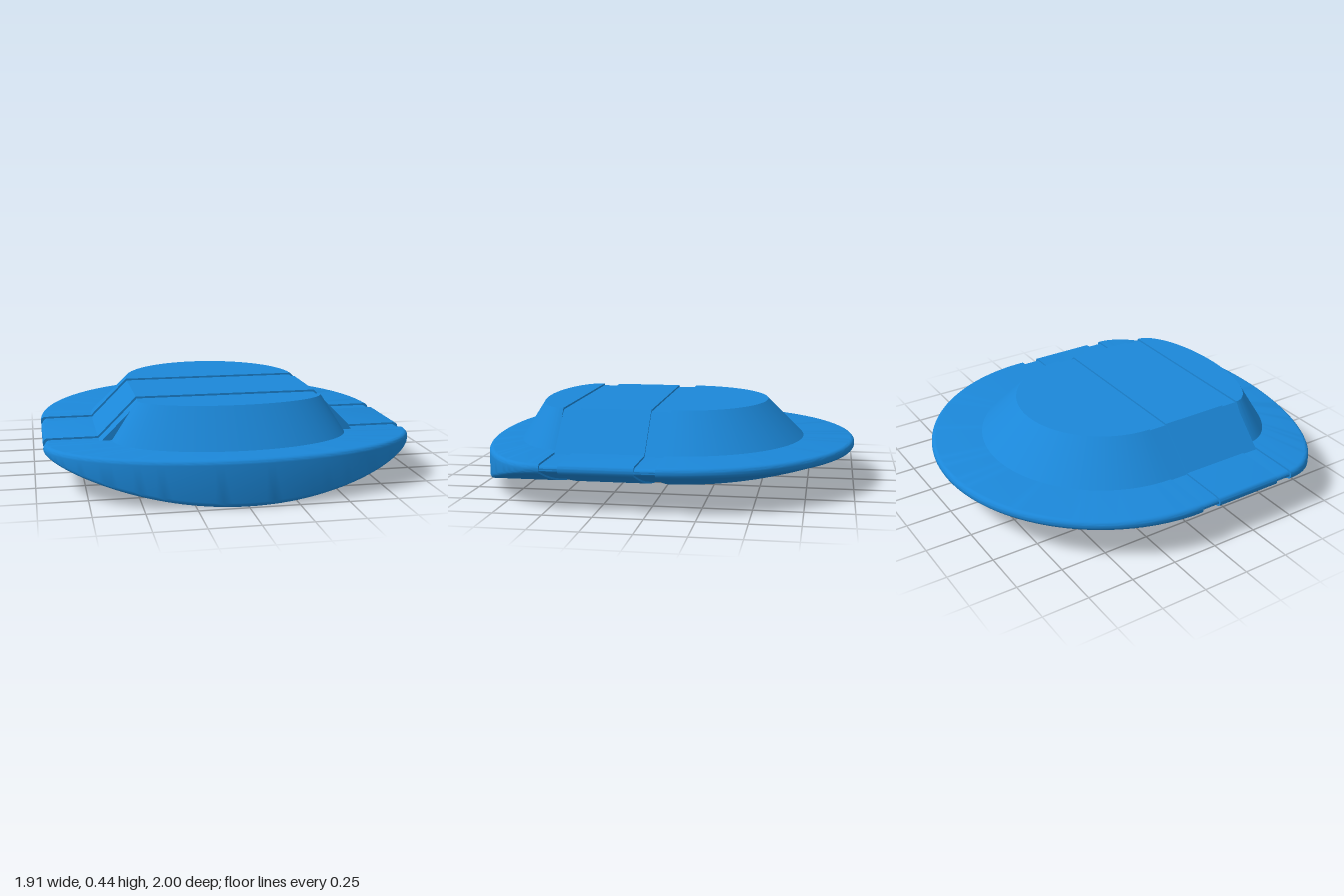
import * as THREE from 'three';
import { mergeGeometries, toCreasedNormals } from 'three/addons/utils/BufferGeometryUtils.js';

const DECK = 0.24, ROOF = 0.44, HALF_WIDTH = 0.955, EDGE = 0.025, INSET = 0.01;
const BACK_Z = -0.05, FRONT_Z = 0.525;
const belly = (d) => 0.215 * d * d;

// Hull profile from deck centre over the rounded rim to the keel: [x radius, z radius, y].
// depthAt turns the x radius into the distance that sets the belly height.
function hullColumn(a, b, inset = 0, depthAt = (r) => r) {
  const pts = [[0, 0, DECK - inset]];
  const ia = a - EDGE, ib = b - EDGE;
  const low = belly(depthAt(ia)) + inset;
  for (let i = 0; i <= 5; i++) {
    const p = (i / 5) * Math.PI / 2;
    pts.push([ia + EDGE * Math.sin(p), ib + EDGE * Math.sin(p), DECK - inset - EDGE * (1 - Math.cos(p))]);
  }
  for (let i = 0; i <= 5; i++) {
    const p = (i / 5) * Math.PI / 2;
    pts.push([ia + EDGE * Math.cos(p), ib + EDGE * Math.cos(p), low + EDGE * (1 - Math.sin(p))]);
  }
  for (let i = 15; i >= 0; i--) {
    const s = i / 16;
    pts.push([ia * s, ib * s, belly(depthAt(ia * s)) + inset]);
  }
  return pts;
}

// Mirrors a column into a closed cross-section
function sectionShape(column) {
  const right = column.map(([x, , y]) => new THREE.Vector2(x, y));
  const left = right.filter((p) => p.x > 0).map((p) => new THREE.Vector2(-p.x, p.y)).reverse();
  return new THREE.Shape([...right, ...left]);
}

// Half-round end: sweeps columns through 180 degrees and closes the flat side
function halfRound(columnAt, z, dir, steps = 72) {
  const pos = [], index = [];
  const n = columnAt(0).length;
  for (let i = 0; i <= steps; i++) {
    const t = (i / steps) * Math.PI;
    for (const [rx, rz, y] of columnAt(t)) pos.push(rx * Math.cos(t), y, z + dir * rz * Math.sin(t));
  }
  for (let i = 0; i < steps; i++) {
    for (let j = 0; j < n - 1; j++) {
      const p = i * n + j, q = p + n;
      const tris = [];
      if (j > 0) tris.push([p, q, p + 1]);
      if (j < n - 2 || n === 4) tris.push([q, q + 1, p + 1]);
      if (j === 0 && n !== 4 && !tris.length) tris.push([p, q + 1, p + 1]);
      for (const [u, v, w] of tris) index.push(...(dir > 0 ? [u, v, w] : [u, w, v]));
    }
  }
  const skin = new THREE.BufferGeometry();
  skin.setAttribute('position', new THREE.Float32BufferAttribute(pos, 3));
  skin.setIndex(index);
  const cap = new THREE.ShapeGeometry(sectionShape(columnAt(0)));
  if (dir > 0) cap.rotateY(Math.PI);
  cap.translate(0, 0, z);
  cap.deleteAttribute('uv');
  cap.deleteAttribute('normal');
  return mergeGeometries([skin.toNonIndexed(), cap.toNonIndexed()]);
}

// Straight slice between two z positions
function slice(column, z0, z1) {
  return new THREE.ExtrudeGeometry(sectionShape(column), { depth: z1 - z0, bevelEnabled: false }).translate(0, 0, z0);
}

// Sloped cabin profile
const cabinColumn = (topX, topZ, baseX, baseZ, inset = 0) => [
  [0, 0, ROOF - inset], [topX, topZ, ROOF - inset], [baseX, baseZ, DECK - inset], [0, 0, DECK - inset],
];

export function createModel() {
  const group = new THREE.Group();
  const material = new THREE.MeshStandardMaterial({ color: 0x1b87d8 });
  const add = (name, geometry) => {
    const mesh = new THREE.Mesh(toCreasedNormals(geometry, 0.6), material);
    mesh.name = name;
    group.add(mesh);
  };

  // Rounded ends: domed underneath at the back, cut upright at the front
  const backLength = 1 + BACK_Z, frontLength = 1 - FRONT_Z;
  add('hullBack', halfRound(() => hullColumn(HALF_WIDTH, backLength), BACK_Z, -1));
  add('hullFront', halfRound(
    (t) => hullColumn(HALF_WIDTH, frontLength, 0, (r) => r * Math.cos(t)), FRONT_Z, 1));
  add('cabinBack', halfRound(() => cabinColumn(0.475, 0.47, 0.675, 0.67), BACK_Z, -1));
  add('cabinFront', halfRound(() => cabinColumn(0.48, 0.195, 0.61, 0.325), FRONT_Z, 1));

  // Straight middle and the two shallow grooves beside it
  const slices = [
    ['backGroove', BACK_Z, 0.055, INSET],
    ['middle', 0.055, 0.43, 0],
    ['frontGroove', 0.43, FRONT_Z, INSET],
  ];
  for (const [name, z0, z1, inset] of slices) {
    const side = inset * 0.4;
    add(name + 'Hull', slice(hullColumn(HALF_WIDTH - inset, 1, inset), z0, z1));
    add(name + 'Cabin', slice(cabinColumn(0.475 - side, 1, 0.675 - side, 1, inset), z0, z1));
  }
  return group;
}
